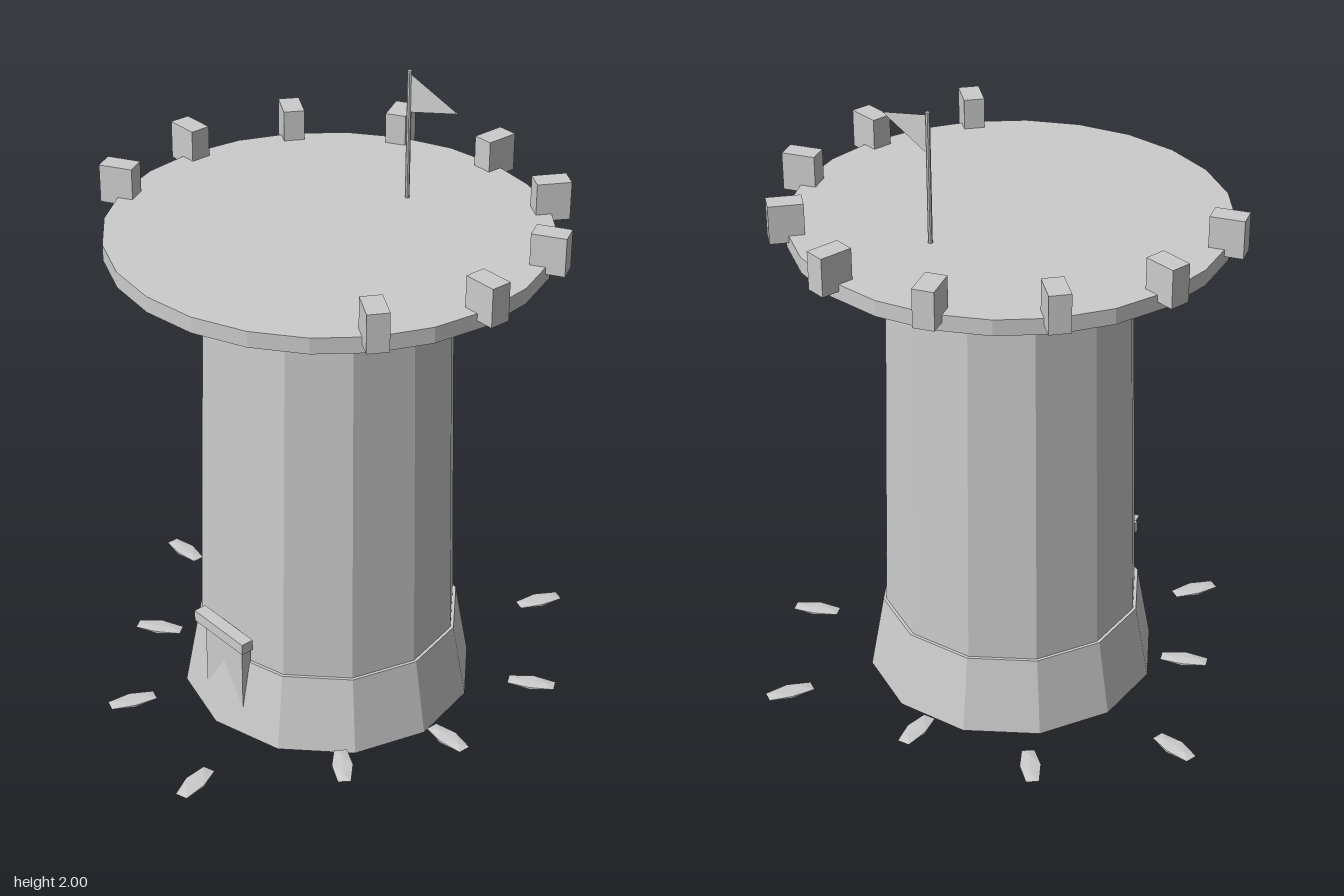
import * as THREE from 'three';

export function createModel() {
  const model = new THREE.Group();
  model.name = 'watchtower';
  const tower = new THREE.Group();
  tower.name = 'tower';
  tower.position.x = 0.055;
  model.add(tower);

  const stone = new THREE.MeshStandardMaterial({ color: 0xcccccc, flatShading: true, side: THREE.DoubleSide });
  stone.name = 'paleStone';

  const add = (name, geometry, x, y, z, ry = 0) => {
    const mesh = new THREE.Mesh(geometry, stone);
    mesh.name = name;
    mesh.position.set(x, y, z);
    mesh.rotation.y = ry;
    tower.add(mesh);
    return mesh;
  };

  // Twelve-sided flared foot and tapering shaft
  add('base', new THREE.CylinderGeometry(0.42, 0.465, 0.25, 12), 0, 0.125, 0);
  add('shaft', new THREE.CylinderGeometry(0.375, 0.41, 1.3, 12), 0, 0.895, 0);

  // Overhanging platform
  add('platform', new THREE.CylinderGeometry(0.665, 0.665, 0.05, 24), 0, 1.567, 0);

  // Battlements every 30 degrees, leaving the front open
  const merlon = new THREE.BoxGeometry(0.105, 0.12, 0.065);
  for (let i = -1; i <= 7; i++) {
    const a = (i * Math.PI) / 6;
    add('merlon', merlon, Math.cos(a) * 0.665, 1.63, -Math.sin(a) * 0.665, a);
  }

  // Door and lintel
  add('door', new THREE.BoxGeometry(0.18, 0.33, 0.033), 0, 0.17, 0.409);
  add('lintel', new THREE.BoxGeometry(0.237, 0.037, 0.042), 0, 0.337, 0.426);

  // Flagpole and pennant
  add('flagpole', new THREE.CylinderGeometry(0.007, 0.007, 0.42, 8), 0, 1.79, -0.305);
  const pennant = new THREE.Shape([
    new THREE.Vector2(0.005, 1.99),
    new THREE.Vector2(0.005, 1.87),
    new THREE.Vector2(0.208, 1.932),
  ]);
  add('pennant', new THREE.ShapeGeometry(pennant), 0, 0, -0.305);

  // Flat stones scattered around the foot at three repeating distances
  const slab = new THREE.IcosahedronGeometry(1, 0).scale(0.088, 0.007, 0.038);
  for (let k = 0; k < 10; k++) {
    const a = (k * Math.PI) / 5;
    const r = 0.573 + (k % 3) * 0.096;
    add('groundStone', slab, Math.cos(a) * r, 0.045, -Math.sin(a) * r, a);
  }

  return model;
}
